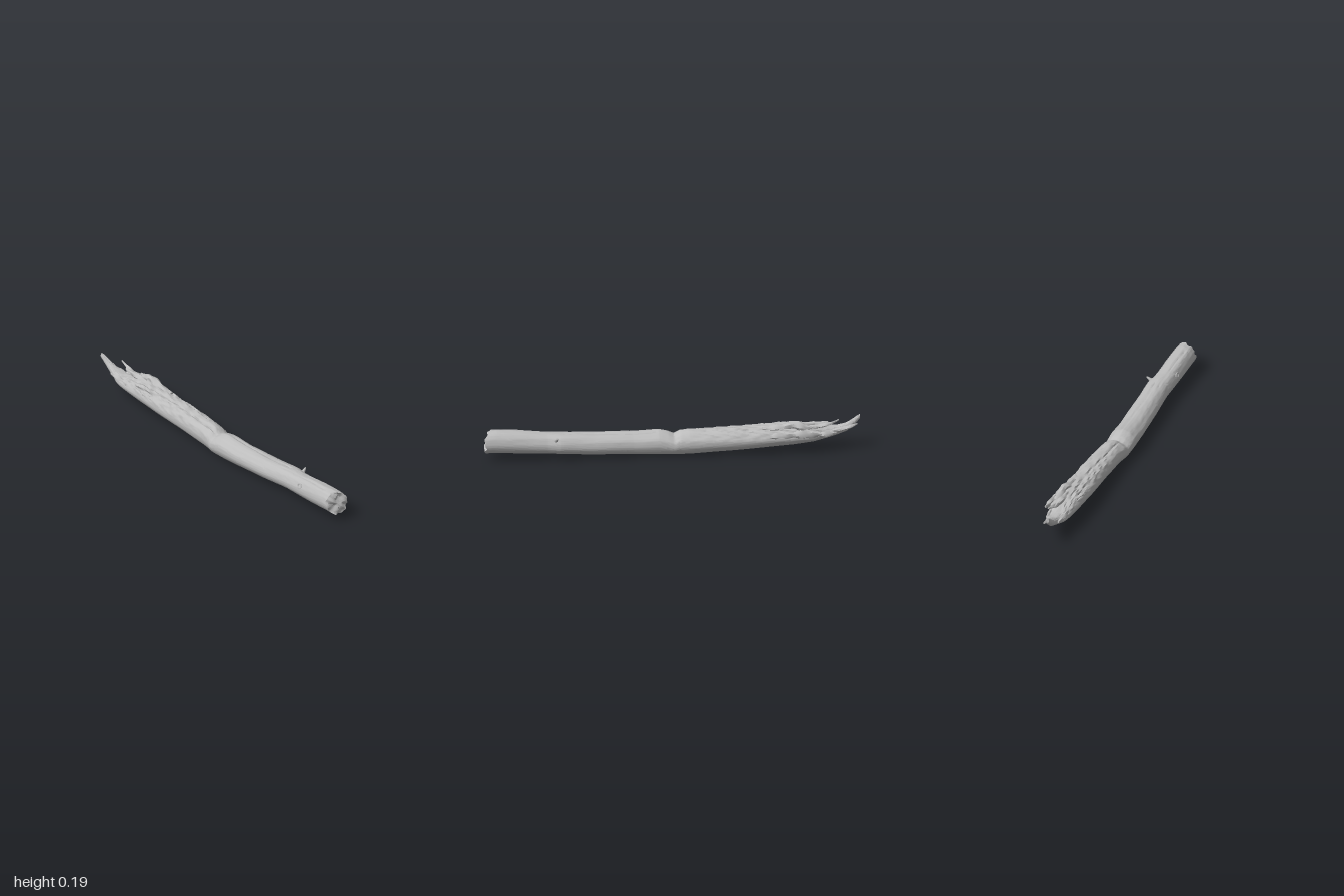
import * as THREE from 'three';
import { toCreasedNormals } from 'three/addons/utils/BufferGeometryUtils.js';

const { lerp, smoothstep, clamp } = THREE.MathUtils;

// Interpolate a table of [x, bottom, top, back, front] at x
function sectionAt(rows, x) {
  let k = 0;
  while (k < rows.length - 2 && x > rows[k + 1][0]) k++;
  const t = clamp((x - rows[k][0]) / (rows[k + 1][0] - rows[k][0]), 0, 1);
  return rows[k].map((v, n) => lerp(v, rows[k + 1][n], t));
}

// Closed skin over the sections; bump scales the radius, shift moves points in x
function loft(rows, steps, sides, bump = () => 1, shift = () => 0) {
  const x0 = rows[0][0], x1 = rows[rows.length - 1][0];
  const rings = [];
  for (let i = 0; i <= steps; i++) rings.push([lerp(x0, x1, i / steps), 1]);
  const cap = [0.85, 0.6, 0.3, 0];
  cap.forEach((s) => { rings.push([x1, s]); rings.unshift([x0, s]); });

  const pos = [], index = [];
  rings.forEach(([x, s]) => {
    const [, yb, yt, zb, zf] = sectionAt(rows, x);
    for (let j = 0; j < sides; j++) {
      const a = (j / sides) * Math.PI * 2;
      const r = s * bump(x, a);
      const y = (yb + yt) / 2 + ((yt - yb) / 2) * Math.sin(a) * r;
      const z = (zb + zf) / 2 + ((zf - zb) / 2) * Math.cos(a) * r;
      pos.push(x + shift(x, y, z, s), y, z);
    }
  });
  for (let i = 0; i < rings.length - 1; i++) {
    for (let j = 0; j < sides; j++) {
      const a = i * sides + j, b = i * sides + ((j + 1) % sides);
      index.push(a, a + sides, b, b, a + sides, b + sides);
    }
  }
  const geo = new THREE.BufferGeometry();
  geo.setAttribute('position', new THREE.Float32BufferAttribute(pos, 3));
  geo.setIndex(index);
  return toCreasedNormals(geo, 0.7);
}

// Trunk outline from the splintered tip to the broken butt
const trunkRows = [
  [-1.0, 0.165, 0.19, 0.003, 0.018],
  [-0.97, 0.135, 0.172, -0.012, 0.016],
  [-0.93, 0.103, 0.148, -0.02, 0.018],
  [-0.88, 0.085, 0.132, -0.03, 0.03],
  [-0.84, 0.074, 0.13, -0.042, 0.045],
  [-0.8, 0.066, 0.135, -0.055, 0.053],
  [-0.75, 0.058, 0.145, -0.076, 0.058],
  [-0.65, 0.046, 0.16, -0.084, 0.065],
  [-0.5, 0.034, 0.152, -0.081, 0.068],
  [-0.3, 0.02, 0.145, -0.075, 0.067],
  [-0.1, 0.007, 0.14, -0.062, 0.07],
  [-0.05, 0.005, 0.132, -0.058, 0.076],
  [-0.02, 0.004, 0.112, -0.056, 0.08],
  [0.01, 0.004, 0.125, -0.055, 0.083],
  [0.06, 0.005, 0.138, -0.054, 0.086],
  [0.2, 0.012, 0.131, -0.052, 0.084],
  [0.4, 0.019, 0.136, -0.056, 0.076],
  [0.58, 0.03, 0.145, -0.059, 0.068],
  [0.65, 0.033, 0.148, -0.046, 0.07],
  [0.8, 0.036, 0.16, -0.041, 0.076],
  [0.92, 0.042, 0.168, -0.037, 0.078],
  [0.965, 0.042, 0.165, -0.036, 0.078],
];

// A long crack running near angle a0 between two x positions
const crack = (x, a, a0, from, to, depth) =>
  depth * Math.exp(-(((a - a0 - 0.1 * Math.sin(x * 11)) / 0.09) ** 2))
  * smoothstep(x, from, from + 0.08) * (1 - smoothstep(x, to - 0.08, to));

// Lengthwise grain, rougher on the weathered upper side toward the tip
function bark(x, a) {
  const up = smoothstep(Math.sin(a), -0.1, 0.7);
  const worn = 1 - smoothstep(x, -0.6, 0.15);
  const grain = Math.sin(5 * a + 3 * Math.sin(2.1 * x)) * 0.5
    + Math.sin(11 * a + 4 * Math.sin(3.3 * x + 1)) * 0.3
    + Math.sin(23 * x + 2 * Math.sin(a)) * 0.3;
  const rough = Math.sin(61 * x + 7 * Math.sin(3 * a)) * Math.sin(9 * a + 17 * x);
  return 1 + grain * (0.015 + 0.025 * up) + rough * up * (0.01 + 0.06 * worn)
    - crack(x, a, 1.25, -0.8, 0, 0.14) - crack(x, a, 0.75, -0.72, -0.45, 0.16)
    - crack(x, a, 1.95, -0.78, -0.1, 0.1) - crack(x, a, 1.7, 0.02, 0.62, 0.1)
    - crack(x, a, 1.2, 0.45, 0.95, 0.07);
}

// Slanted, pitted break at the butt end
function brokenEnd(x, y, z, s) {
  const pits = Math.sin(70 * y + 2) * Math.sin(85 * z + 1) * 0.009 + Math.sin(170 * y - 120 * z) * 0.004;
  return smoothstep(x, 0.86, 0.965)
    * (-(z - 0.02) * 0.3 - (y - 0.1) * 0.16 + pits + (1 - s) * 0.004);
}

// Splinters and torn ridges around the tip
const splinters = {
  tornRidge: [[-0.74, 0.14, 0.152, -0.06, -0.04], [-0.68, 0.13, 0.174, -0.068, -0.02],
    [-0.645, 0.13, 0.185, -0.062, -0.02], [-0.6, 0.13, 0.17, -0.06, -0.015], [-0.48, 0.13, 0.15, -0.05, -0.02]],
  upperSplinter: [[-0.885, 0.174, 0.181, -0.035, -0.029], [-0.85, 0.155, 0.17, -0.04, -0.026],
    [-0.8, 0.138, 0.158, -0.045, -0.02], [-0.7, 0.12, 0.15, -0.05, -0.01]],
  middleSplinter: [[-0.83, 0.153, 0.164, -0.02, -0.012], [-0.78, 0.14, 0.165, -0.03, -0.004],
    [-0.73, 0.135, 0.167, -0.03, 0.0], [-0.6, 0.13, 0.155, -0.03, 0.0]],
  backSplinter: [[-0.79, 0.115, 0.13, -0.09, -0.08], [-0.74, 0.1, 0.14, -0.09, -0.066],
    [-0.66, 0.095, 0.138, -0.088, -0.06], [-0.52, 0.09, 0.125, -0.08, -0.05]],
  lowBackSplinter: [[-0.87, 0.105, 0.116, -0.052, -0.042], [-0.8, 0.088, 0.12, -0.066, -0.04],
    [-0.7, 0.08, 0.12, -0.076, -0.04]],
  frontSplinter: [[-0.9, 0.112, 0.12, 0.026, 0.034], [-0.82, 0.094, 0.128, 0.024, 0.048],
    [-0.7, 0.09, 0.135, 0.02, 0.056]],
  sideTongue: [[-0.985, 0.142, 0.15, -0.021, -0.014], [-0.93, 0.116, 0.136, -0.033, -0.01],
    [-0.85, 0.095, 0.125, -0.04, 0]],
  frontSliver: [[-0.68, 0.13, 0.138, 0.04, 0.05], [-0.6, 0.11, 0.135, 0.038, 0.06],
    [-0.48, 0.1, 0.118, 0.04, 0.063]],
};

export function createModel() {
  const log = new THREE.Group();
  log.name = 'driftwoodLog';
  const wood = new THREE.MeshStandardMaterial({ color: 0xbcbcbc });
  wood.name = 'weatheredGrey';
  const add = (name, geo) => {
    const mesh = new THREE.Mesh(geo, wood);
    mesh.name = name;
    log.add(mesh);
    return mesh;
  };

  add('trunk', loft(trunkRows, 260, 64, bark, brokenEnd));

  const ragged = (x, a) => 1 + 0.14 * Math.sin(3 * a + 50 * x) + 0.1 * Math.sin(90 * x);
  for (const [name, rows] of Object.entries(splinters)) add(name, loft(rows, 24, 10, ragged));

  // Twig stub on the back and a small knot on the front
  const stub = add('twigStub', new THREE.CylinderGeometry(0.004, 0.012, 0.035, 8));
  stub.position.set(0.605, 0.128, -0.05);
  stub.rotation.set(-0.9, 0, 0.2);
  const knot = add('knot', new THREE.TorusGeometry(0.011, 0.004, 6, 14));
  knot.position.set(0.71, 0.117, 0.066);
  knot.rotation.x = -0.3;
  knot.scale.x = 1.4;

  return log;
}
